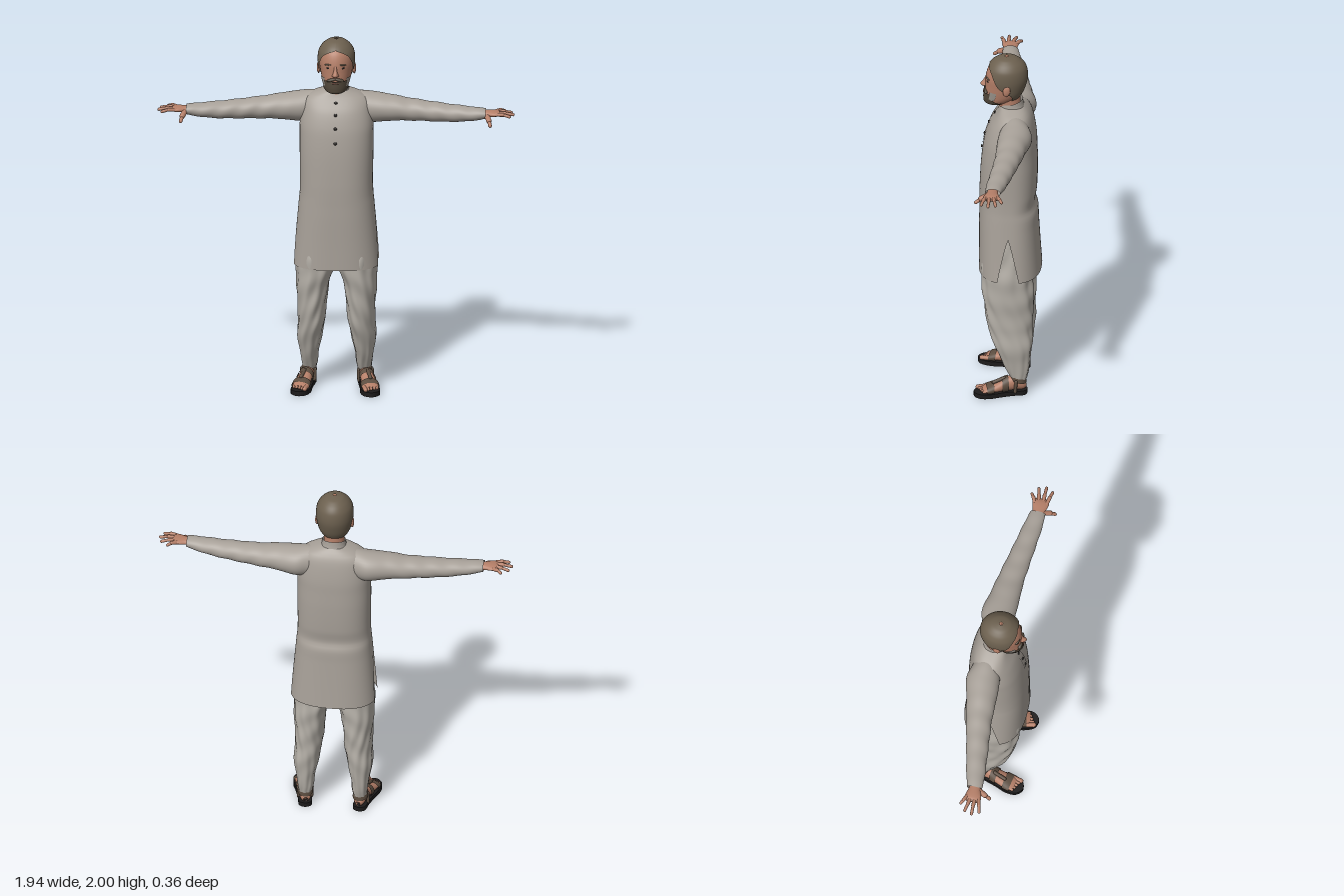
import * as THREE from 'three';
import { mergeGeometries, mergeVertices } from 'three/addons/utils/BufferGeometryUtils.js';

const material = (name, color, side = THREE.DoubleSide) => {
  const m = new THREE.MeshStandardMaterial({ color, side });
  m.name = name;
  return m;
};
const M = {
  tunic: material('tunic cloth', 0xa8a199),
  trousers: material('trouser cloth', 0xb3aea6),
  skin: material('skin', 0xb57f68),
  hair: material('hair', 0x6c604f),
  beard: material('beard', 0x51473a),
  grey: material('grey beard', 0x9a948c),
  lips: material('lips', 0x8c5a4c),
  sole: material('sole', 0x1d1b1b),
  strap: material('strap', 0x5c4d40),
  dark: material('button', 0x2a2725),
};

// Smooth value of every column of a station table at position t
function sample(rows, t) {
  let k = 0;
  while (k < rows.length - 2 && t > rows[k + 1][0]) k++;
  const slope = (i, c) => {
    const a = rows[Math.max(i - 1, 0)], b = rows[Math.min(i + 1, rows.length - 1)];
    return (b[c] - a[c]) / (b[0] - a[0]);
  };
  const h = rows[k + 1][0] - rows[k][0], f = (t - rows[k][0]) / h, f2 = f * f, f3 = f2 * f;
  return rows[k].map((v, c) => (2 * f3 - 3 * f2 + 1) * v + (f3 - 2 * f2 + f) * h * slope(k, c)
    + (3 * f2 - 2 * f3) * rows[k + 1][c] + (f3 - f2) * h * slope(k + 1, c));
}

const axes = {
  y: (t, u, v) => [u, t, v],
  x: (t, u, v) => [t, v, u],
  z: (t, u, v) => [v, u, t],
};

// Skin over stations [t, centreU, centreV, radiusU, radiusV+, radiusV-]; range(t) leaves the shell open
function loft(rows, o = {}) {
  const { map = axes.y, t0 = rows[0][0], t1 = rows[rows.length - 1][0], steps = 28, n = 36, range, grow = 0, p = 2, fold } = o;
  const cols = range ? n + 1 : n, pos = [], index = [];
  const pw = (x) => Math.sign(x) * Math.abs(x) ** (2 / p);
  for (let i = 0; i <= steps; i++) {
    const t = t0 + (t1 - t0) * i / steps;
    const [, cu, cv, ru, rp, rm] = sample(rows, t);
    const [a0, a1] = range ? range(t) : [0, Math.PI * 2];
    for (let j = 0; j < cols; j++) {
      const a = a0 + (a1 - a0) * j / n, s = Math.sin(a), f = fold ? fold(t, a) : 1;
      pos.push(...map(t, cu + pw(Math.cos(a)) * (ru + grow) * f, cv + pw(s) * ((s > 0 ? rp : rm) + grow) * f));
    }
  }
  for (let i = 0; i < steps; i++) for (let j = 0; j < n; j++) {
    const a = i * cols + j, c = i * cols + (j + 1) % cols;
    index.push(a, a + cols, c, a + cols, c + cols, c);
  }
  const g = new THREE.BufferGeometry();
  g.setAttribute('position', new THREE.Float32BufferAttribute(pos, 3));
  g.setIndex(index);
  g.computeVertexNormals();
  return g;
}

function add(parent, name, geometry, mat, at = [0, 0, 0], scale = [1, 1, 1]) {
  const m = new THREE.Mesh(geometry, mat);
  m.name = name;
  m.position.set(...at);
  m.scale.set(...scale);
  parent.add(m);
  return m;
}
const ball = (parent, name, mat, at, scale) => add(parent, name, new THREE.SphereGeometry(1, 20, 14), mat, at, scale);

// Rounded rod between two points
function rod(parent, name, mat, a, b, r) {
  const A = new THREE.Vector3(...a), B = new THREE.Vector3(...b), d = B.clone().sub(A);
  const m = add(parent, name, new THREE.CapsuleGeometry(r, d.length(), 5, 12), mat);
  m.position.copy(A).lerp(B, 0.5);
  m.quaternion.setFromUnitVectors(new THREE.Vector3(0, 1, 0), d.normalize());
}

// Copy of a group reflected across x = 0
function mirrored(group, name) {
  const out = new THREE.Group();
  out.name = name;
  group.updateMatrixWorld(true);
  group.traverse((m) => {
    if (!m.isMesh) return;
    const g = m.geometry.clone().applyMatrix4(m.matrixWorld).scale(-1, 1, 1);
    const id = g.index ? Array.from(g.index.array) : Array.from({ length: g.attributes.position.count }, (_, i) => i);
    for (let i = 0; i < id.length; i += 3) [id[i + 1], id[i + 2]] = [id[i + 2], id[i + 1]];
    g.setIndex(id);
    add(out, m.name, g, m.material);
  });
  return out;
}

const H = Math.PI / 2;
const tunicRows = [
  [0.715, 0, -0.01, 0.236, 0.17, 0.172], [0.85, 0, -0.01, 0.224, 0.169, 0.163], [1.0, 0, -0.01, 0.211, 0.169, 0.154],
  [1.08, 0, -0.01, 0.204, 0.168, 0.15], [1.12, 0, -0.01, 0.2, 0.168, 0.135], [1.2, 0, -0.01, 0.198, 0.167, 0.145],
  [1.35, 0, -0.01, 0.2, 0.16, 0.149], [1.45, 0, -0.01, 0.2, 0.15, 0.146], [1.52, 0, -0.015, 0.2, 0.142, 0.138],
  [1.6, 0, -0.025, 0.19, 0.125, 0.116], [1.65, 0, -0.03, 0.178, 0.1, 0.097], [1.68, 0, -0.03, 0.14, 0.082, 0.08],
  [1.705, 0, -0.02, 0.066, 0.062, 0.065]];

function buildTunic(root) {
  // front and back panels part along the side slits
  const slit = (y) => 0.27 * Math.max(0, (0.97 - y) / 0.25);
  const opts = { steps: 60, n: 40, p: 2.45 };
  const body = mergeVertices(mergeGeometries([
    loft(tunicRows, { ...opts, range: (y) => [slit(y), Math.PI - slit(y)] }),
    loft(tunicRows, { ...opts, range: (y) => [Math.PI + slit(y), 2 * Math.PI - slit(y)] }),
  ].map((g) => (g.deleteAttribute('normal'), g))), 1e-5);
  body.computeVertexNormals();
  add(root, 'tunic', body, M.tunic);
  add(root, 'placket', loft(tunicRows, { t0: 1.42, t1: 1.69, n: 4, p: 2.45, grow: 0.003, range: () => [H - 0.06, H + 0.06] }), M.tunic);
  for (const y of [1.65, 1.59, 1.52, 1.44]) {
    const r = sample(tunicRows, y);
    ball(root, 'button', M.dark, [0, y, r[2] + r[4] + 0.004], [0.009, 0.009, 0.005]);
  }
  // standing collar, lower at the front
  add(root, 'collar', loft([[1.675, 0, -0.018, 0.08, 0.074, 0.07], [1.7, 0, -0.018, 0.068, 0.068, 0.064], [1.73, 0, -0.018, 0.064, 0.063, 0.06]],
    { steps: 8, map: (t, u, v) => [u, t - 0.25 * (v + 0.018), v] }), M.tunic);
}

const headRows = [
  [1.713, 0, 0.075, 0.012, 0.02, 0.02], [1.72, 0, 0.07, 0.04, 0.05, 0.06], [1.74, 0, 0.05, 0.06, 0.078, 0.085],
  [1.78, 0, 0.02, 0.077, 0.108, 0.088], [1.83, 0, 0.01, 0.088, 0.116, 0.098], [1.88, 0, 0.01, 0.094, 0.114, 0.108],
  [1.93, 0, 0.01, 0.089, 0.1, 0.102], [1.96, 0, 0.01, 0.071, 0.078, 0.084], [1.98, 0, 0.01, 0.047, 0.051, 0.056],
  [1.988, 0, 0.01, 0.03, 0.032, 0.035], [1.993, 0, 0.01, 0.001, 0.001, 0.001]];

function buildHead(root) {
  const head = new THREE.Group();
  head.name = 'head';
  root.add(head);
  add(head, 'skull', loft(headRows, { steps: 60 }), M.skin);
  add(head, 'neck', loft([[1.64, 0, -0.015, 0.056, 0.058, 0.056], [1.8, 0, 0, 0.056, 0.06, 0.062]], { steps: 6 }), M.skin);
  // hairline: half opening angle around the face at each height
  const line = [[1.755, 2.2], [1.79, 1.95], [1.82, 1.5], [1.85, 1.2], [1.885, 1.02], [1.92, 0.78], [1.94, 0.45], [1.955, 0], [2, 0]];
  const hairline = (y) => Math.max(0, sample(line, y)[1]);
  add(head, 'hair', loft(headRows, { t0: 1.755, t1: 1.993, steps: 60, n: 48, grow: 0.008,
    map: (t, u, v) => [u, t + 0.007 * Math.max(0, (t - 1.9) / 0.09), v],
    range: (y) => [H + hairline(y), 5 * H - hairline(y)] }), M.hair);
  // beard
  add(head, 'beard', loft(headRows, { t0: 1.713, t1: 1.792, grow: 0.009,
    range: (y) => { const a = y < 1.73 ? 1.9 : 1.9 - 1.1 * Math.min(1, (y - 1.73) / 0.03); return [H - a, H + a]; } }), M.beard);
  for (const s of [-1, 1]) {
    add(head, 'greyWhiskers', loft(headRows, { t0: 1.752, t1: 1.805, steps: 8, n: 8, grow: 0.006,
      range: () => s > 0 ? [H - 1.15, H - 0.75] : [H + 0.75, H + 1.15] }), M.grey);
    ball(head, 'moustache', M.beard, [s * 0.02, 1.798, 0.121], [0.03, 0.009, 0.013]).rotation.z = -s * 0.25;
    ball(head, 'eye', M.dark, [s * 0.036, 1.862, 0.108], [0.014, 0.006, 0.009]);
    const brow = ball(head, 'eyebrow', M.hair, [s * 0.038, 1.881, 0.109], [0.022, 0.005, 0.01]);
    brow.rotation.set(0, s * 0.3, -s * 0.1);
    ball(head, 'ear', M.skin, [s * 0.097, 1.832, 0.005], [0.01, 0.032, 0.02]).rotation.x = -0.15;
  }
  add(head, 'nose', loft([[1.812, 0, 0.118, 0.004, 0.008, 0.01], [1.82, 0, 0.12, 0.019, 0.028, 0.01], [1.83, 0, 0.12, 0.016, 0.033, 0.01],
    [1.85, 0, 0.118, 0.01, 0.02, 0.01], [1.878, 0, 0.112, 0.009, 0.013, 0.01]], { steps: 16, n: 20 }), M.skin);
  ball(head, 'mouth', M.lips, [0, 1.781, 0.131], [0.022, 0.005, 0.009]);
}

function buildArm() {
  const arm = new THREE.Group();
  arm.name = 'leftArm';
  add(arm, 'sleeve', loft([
    [0.06, -0.04, 1.605, 0.06, 0.075, 0.07], [0.13, -0.045, 1.6, 0.078, 0.085, 0.085], [0.2, -0.048, 1.597, 0.092, 0.08, 0.087],
    [0.3, -0.035, 1.595, 0.083, 0.07, 0.072], [0.4, -0.025, 1.59, 0.073, 0.06, 0.062], [0.6, 0.006, 1.584, 0.06, 0.048, 0.05],
    [0.7, 0.022, 1.585, 0.054, 0.041, 0.043], [0.78, 0.034, 1.59, 0.047, 0.031, 0.034], [0.815, 0.038, 1.592, 0.041, 0.026, 0.028]],
  { map: axes.x, steps: 60, fold: (t, a) => 1 + 0.025 * Math.sin(t * 55 + 2.5 * Math.sin(a)) * Math.min(1, Math.max(0, t - 0.2) * 4) }), M.tunic);
  // hand, palm down
  add(arm, 'palm', loft([[0.77, 0.038, 1.593, 0.028, 0.019, 0.019], [0.82, 0.04, 1.593, 0.032, 0.018, 0.018], [0.86, 0.042, 1.596, 0.044, 0.015, 0.016],
    [0.885, 0.042, 1.596, 0.043, 0.012, 0.013], [0.897, 0.042, 1.596, 0.03, 0.005, 0.005]], { map: axes.x, steps: 16, n: 24 }), M.skin);
  const fingers = [[0.008, 0.915, -0.016], [0.031, 0.952, 0.014], [0.053, 0.964, 0.054], [0.074, 0.945, 0.092]];
  for (const [z, x, tip] of fingers) {
    const mid = [(0.875 + x) / 2, 1.6, (z + tip) / 2];
    rod(arm, 'finger', M.skin, [0.872, 1.597, z], mid, 0.0105);
    rod(arm, 'fingertip', M.skin, mid, [x, 1.592, tip], 0.0085);
  }
  rod(arm, 'thumbBase', M.skin, [0.82, 1.588, 0.06], [0.835, 1.57, 0.1], 0.015);
  rod(arm, 'thumb', M.skin, [0.835, 1.57, 0.1], [0.842, 1.55, 0.127], 0.01);
  return arm;
}

function buildLeg() {
  const leg = new THREE.Group();
  leg.name = 'leftLeg';
  // loose trouser leg with draped pleats
  add(leg, 'trouserLeg', loft([
    [0.09, 0.15, -0.062, 0.036, 0.038, 0.046], [0.13, 0.148, -0.058, 0.043, 0.055, 0.06], [0.2, 0.15, -0.05, 0.052, 0.08, 0.075],
    [0.3, 0.146, -0.035, 0.069, 0.105, 0.102], [0.4, 0.135, -0.02, 0.074, 0.123, 0.118], [0.6, 0.129, -0.01, 0.089, 0.14, 0.133],
    [0.72, 0.112, -0.01, 0.108, 0.15, 0.13], [0.85, 0.1, -0.01, 0.108, 0.14, 0.13], [0.97, 0.098, -0.01, 0.098, 0.12, 0.12]],
  { steps: 60, n: 96, p: 2.2, fold: (t, a) => 1 + 0.028 * Math.sin(a * 9 + 5 * Math.sin(t * 7)) + 0.018 * Math.sin(t * 42 + 3 * Math.cos(a)) }), M.trousers);

  // sandalled foot, toes turned outwards
  const foot = new THREE.Group();
  foot.name = 'foot';
  foot.position.set(0.152, 0, -0.06);
  foot.rotation.y = 0.2;
  leg.add(foot);
  const outline = [[0, -0.052], [0.034, -0.035], [0.038, 0.03], [0.046, 0.1], [0.056, 0.16], [0.046, 0.215], [0.005, 0.243], [-0.035, 0.222],
    [-0.05, 0.16], [-0.04, 0.08], [-0.036, 0], [-0.03, -0.038]];
  const shape = new THREE.Shape(new THREE.CatmullRomCurve3(outline.map(([x, z]) => new THREE.Vector3(x, -z, 0)), true).getPoints(48).map((q) => new THREE.Vector2(q.x, q.y)));
  const sole = new THREE.ExtrudeGeometry(shape, { depth: 0.026, bevelEnabled: false }).rotateX(-H);
  add(foot, 'sole', sole, M.sole);
  const rows = [[-0.045, 0.045, 0, 0.012, 0.012, 0.012], [-0.03, 0.052, 0, 0.028, 0.027, 0.027], [0.01, 0.065, 0, 0.042, 0.034, 0.034], [0.06, 0.06, 0, 0.04, 0.036, 0.034],
    [0.12, 0.047, 0.002, 0.027, 0.043, 0.039], [0.17, 0.039, 0.003, 0.017, 0.045, 0.041], [0.195, 0.035, 0.003, 0.009, 0.04, 0.036]];
  add(foot, 'instep', loft(rows, { map: axes.z }), M.skin);
  rod(foot, 'ankle', M.skin, [0, 0.06, -0.005], [0, 0.16, -0.005], 0.033);
  for (let i = 0; i < 5; i++) {
    const x = -0.031 + i * 0.0175;
    rod(foot, 'toe', M.skin, [x, 0.037, 0.17], [x * 0.95, 0.035, 0.216 - i * 0.006], i ? 0.008 : 0.012);
  }
  for (const [t0, t1] of [[0.135, 0.175], [0.055, 0.09]])
    add(foot, 'strap', loft(rows, { map: axes.z, t0, t1, steps: 6, grow: 0.007 }), M.strap);
  rod(foot, 'bridgeStrap', M.strap, [0.01, 0.078, 0.135], [0.005, 0.098, 0.075], 0.01);
  add(foot, 'ankleStrap', loft([[0.075, 0, 0, 0.042, 0.046, 0.044], [0.1, 0, 0, 0.04, 0.044, 0.042]],
    { steps: 4, map: (t, u, v) => [u, t + 0.25 * v, v - 0.003] }), M.strap);
  for (const s of [-1, 1]) rod(foot, 'sideStrap', M.strap, [s * 0.036, 0.025, 0.02], [s * 0.038, 0.085, 0.015], 0.009);
  return leg;
}

export function createModel() {
  const root = new THREE.Group();
  root.name = 'standingMan';
  buildTunic(root);
  buildHead(root);
  const arm = buildArm(), leg = buildLeg();
  root.add(arm, mirrored(arm, 'rightArm'), leg, mirrored(leg, 'rightLeg'));
  return root;
}
